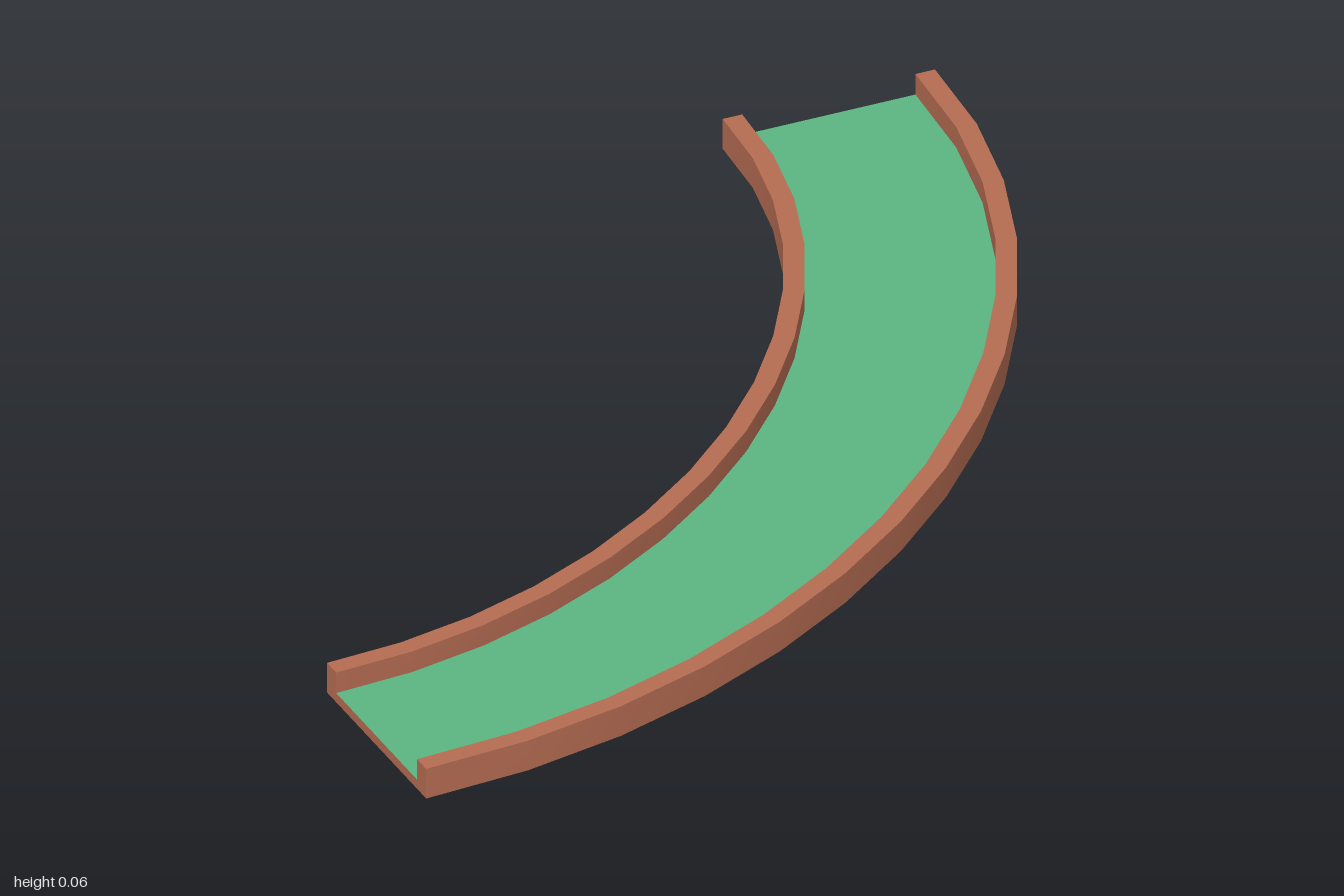
import * as THREE from 'three';
import { mergeGeometries } from 'three/addons/utils/BufferGeometryUtils.js';

const SEGMENTS = 14;
const RADIUS = 1.7775;   // centre line distance from the bend corner at both ends
const HALF = 0.2225;     // half width of the track
const RAIL = 0.041;      // rail width
const HEIGHT = 0.065;
const FLOOR = 0.02;

// Centre line of the bend, flat in x and z
const P = (x, z) => new THREE.Vector3(x - 1, 0, z - 1);
const path = new THREE.CubicBezierCurve3(
  P(RADIUS, 0), P(RADIUS, RADIUS / 2), P(RADIUS / 2, RADIUS), P(0, RADIUS));

// Point at step i, u outward from the centre line and y up
function pointAt(i, [u, y]) {
  const t = i / SEGMENTS;
  const c = path.getPoint(t), d = path.getTangent(t);
  return [c.x + d.z * u, y, c.z - d.x * u];
}

function makeGeometry(positions, index) {
  const g = new THREE.BufferGeometry();
  g.setAttribute('position', new THREE.Float32BufferAttribute(positions, 3));
  g.setIndex(index);
  g.computeVertexNormals();
  return g;
}

// One side of the profile swept along the bend, smooth lengthwise
function strip(a, b) {
  const positions = [], index = [];
  for (let i = 0; i <= SEGMENTS; i++) {
    positions.push(...pointAt(i, a), ...pointAt(i, b));
    if (i < SEGMENTS) {
      const k = i * 2;
      index.push(k, k + 1, k + 2, k + 1, k + 3, k + 2);
    }
  }
  return makeGeometry(positions, index);
}

// Flat end face of the profile
function cap(profile, step) {
  const faces = THREE.ShapeUtils.triangulateShape(
    profile.map(([u, y]) => new THREE.Vector2(u, y)), []);
  const index = faces.flatMap(([a, b, c]) => (step === 0 ? [a, c, b] : [a, b, c]));
  return makeGeometry(profile.flatMap((p) => pointAt(step, p)), index);
}

export function createModel() {
  const brick = new THREE.MeshStandardMaterial({ color: 0xb56c52 });
  brick.name = 'brick brown';
  const green = new THREE.MeshStandardMaterial({ color: 0x5cb481 });
  green.name = 'turf green';

  // U-shaped cross-section, anticlockwise
  const inside = HALF - RAIL;
  const profile = [
    [-HALF, 0], [HALF, 0], [HALF, HEIGHT], [inside, HEIGHT],
    [inside, FLOOR], [-inside, FLOOR], [-inside, HEIGHT], [-HALF, HEIGHT],
  ];
  const sides = profile.map((p, i) => strip(p, profile[(i + 1) % profile.length]));
  const [turfSide] = sides.splice(4, 1);

  // Base and raised rails
  const trough = new THREE.Mesh(
    mergeGeometries([...sides, cap(profile, 0), cap(profile, SEGMENTS)]), brick);
  trough.name = 'baseAndRails';

  // Green playing surface between the rails
  const turf = new THREE.Mesh(turfSide, green);
  turf.name = 'turf';

  const group = new THREE.Group();
  group.name = 'curvedTrack';
  group.add(trough, turf);
  return group;
}
